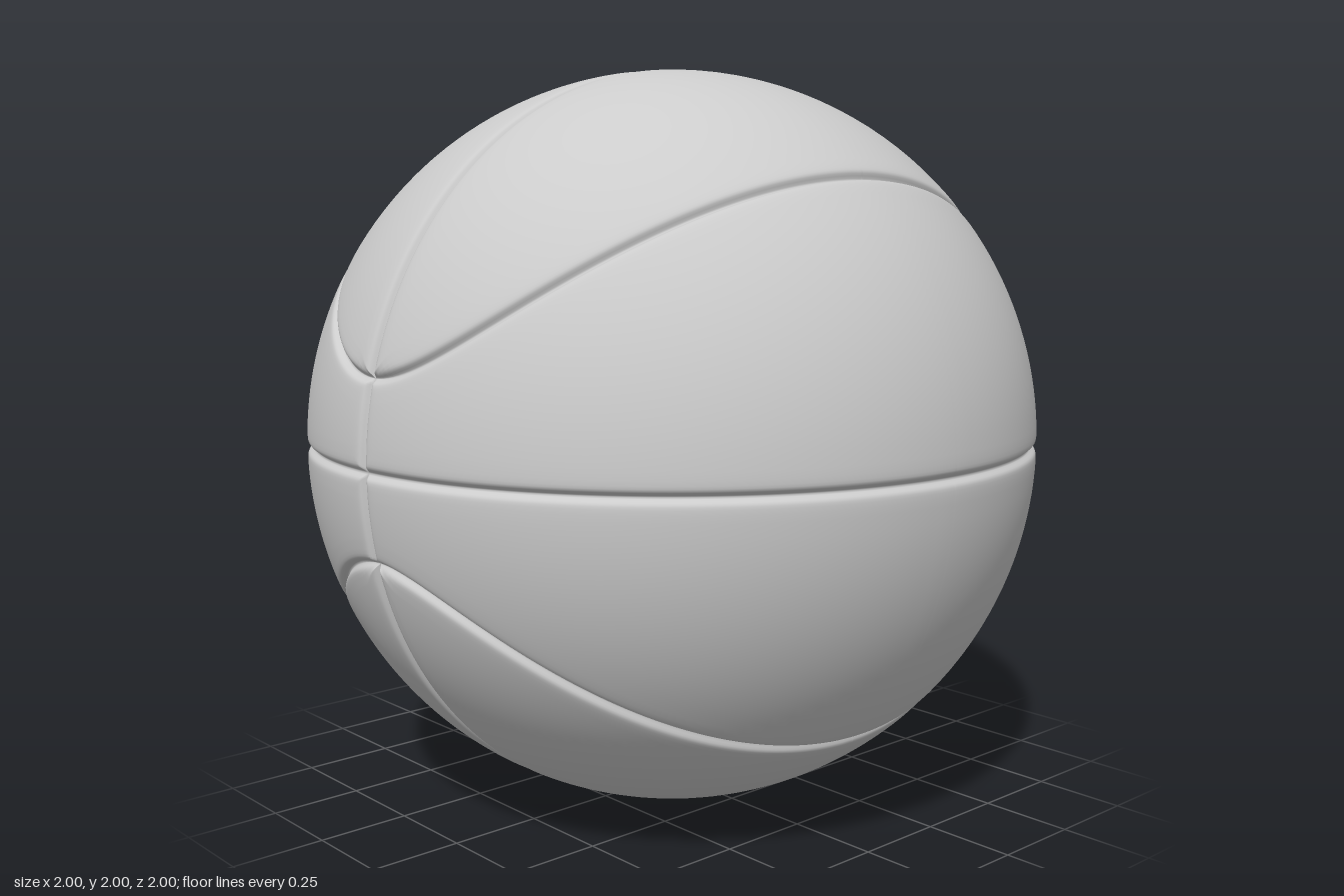
import * as THREE from 'three';
import { mergeGeometries, mergeVertices } from 'three/addons/utils/BufferGeometryUtils.js';

const V = (x, y, z) => new THREE.Vector3(x, y, z);

// Curved seam in one octant, t = 0 at the side, t = PI/2 at the front
function seam(t) {
  const a = 0.704, b = 0.973, c = Math.cos(t), s = Math.sin(t);
  const y1 = Math.sqrt(1 - (a * c) ** 2 - (b * s) ** 2);
  const y2 = 0.23 + 0.48 * c * c;
  return V(a * c, (y1 + y2) / 2, b * s).normalize();
}

// Point on the unit sphere between two directions
function arc(p, q, f) {
  const w = p.angleTo(q);
  if (w < 1e-6) return p.clone();
  return p.clone().multiplyScalar(Math.sin((1 - f) * w) / Math.sin(w))
    .addScaledVector(q, Math.sin(f * w) / Math.sin(w)).normalize();
}

// Fractions 0..1 along a span, packed closely at both ends where grooves run
function knots(length, inner) {
  const near = [0, 0.004, 0.008, 0.012, 0.016, 0.021, 0.028, 0.04, 0.06];
  const k = Math.min(1, (0.4 * length) / 0.06) / Math.max(length, 1e-6);
  const ends = near.map((d) => d * k);
  const last = ends[ends.length - 1], out = [...ends];
  for (let i = 1; i < inner; i++) out.push(last + (1 - 2 * last) * i / inner);
  return out.concat(ends.map((e) => 1 - e).reverse());
}

// Distance from a point to the curved seam
const seamPoints = Array.from({ length: 161 }, (_, i) => seam((i / 160) * Math.PI / 2));
const near = V(0, 0, 0), line = new THREE.Line3();
function seamDistance(p) {
  let best = 4;
  for (let i = 0; i < 160; i++) {
    line.set(seamPoints[i], seamPoints[i + 1]).closestPointToPoint(p, true, near);
    best = Math.min(best, near.distanceToSquared(p));
  }
  return Math.sqrt(best);
}

// Push a sphere point inward where a groove passes
function carve(p) {
  const d = Math.min(Math.asin(Math.abs(p.x)), Math.asin(Math.abs(p.y)), seamDistance(p));
  const depth = 0.016 * Math.exp(-((d / 0.010) ** 2)) + 0.003 * Math.exp(-((d / 0.024) ** 2));
  return p.multiplyScalar(1 - depth);
}

// Grid patch between two edge curves
function patch(from, to) {
  const pos = [], index = [], us = knots(1.2, 52);
  let cols = 0;
  for (const u of us) {
    const p = from(u * Math.PI / 2), q = to(u * Math.PI / 2);
    const vs = knots(p.angleTo(q), 16);
    cols = vs.length;
    for (const v of vs) pos.push(...carve(arc(p, q, v)).toArray());
  }
  for (let i = 0; i < us.length - 1; i++) {
    for (let j = 0; j < cols - 1; j++) {
      const a = i * cols + j, b = a + cols;
      index.push(a, a + 1, b, a + 1, b + 1, b);
    }
  }
  const g = new THREE.BufferGeometry();
  g.setAttribute('position', new THREE.Float32BufferAttribute(pos, 3));
  g.setIndex(index);
  return g;
}

export function createModel() {
  const group = new THREE.Group();
  group.name = 'ball';

  // One octant: band from equator to seam, cap from seam to the centre meridian
  const low = Math.asin(seam(Math.PI / 2).y);
  const equator = (t) => V(Math.cos(t), 0, Math.sin(t));
  const meridian = (t) => {
    const e = low + (Math.PI / 2 - low) * (1 - t / (Math.PI / 2));
    return V(0, Math.sin(e), Math.cos(e));
  };
  const octant = mergeGeometries([patch(equator, seam), patch(seam, meridian)]);

  // Mirror into all eight octants
  const parts = [];
  for (const x of [1, -1]) for (const y of [1, -1]) for (const z of [1, -1]) {
    const g = octant.clone();
    const pos = g.attributes.position;
    for (let i = 0; i < pos.count; i++) {
      pos.setXYZ(i, pos.getX(i) * x, pos.getY(i) * y, pos.getZ(i) * z);
    }
    if (x * y * z < 0) g.setIndex(Array.from(g.index.array).reverse());
    parts.push(g);
  }
  const geometry = mergeVertices(mergeGeometries(parts), 1e-4);
  geometry.computeVertexNormals();

  const shell = new THREE.Mesh(geometry, new THREE.MeshStandardMaterial({ color: 0xcccccc }));
  shell.name = 'groovedShell';
  shell.position.y = 1;
  group.add(shell);
  return group;
}
